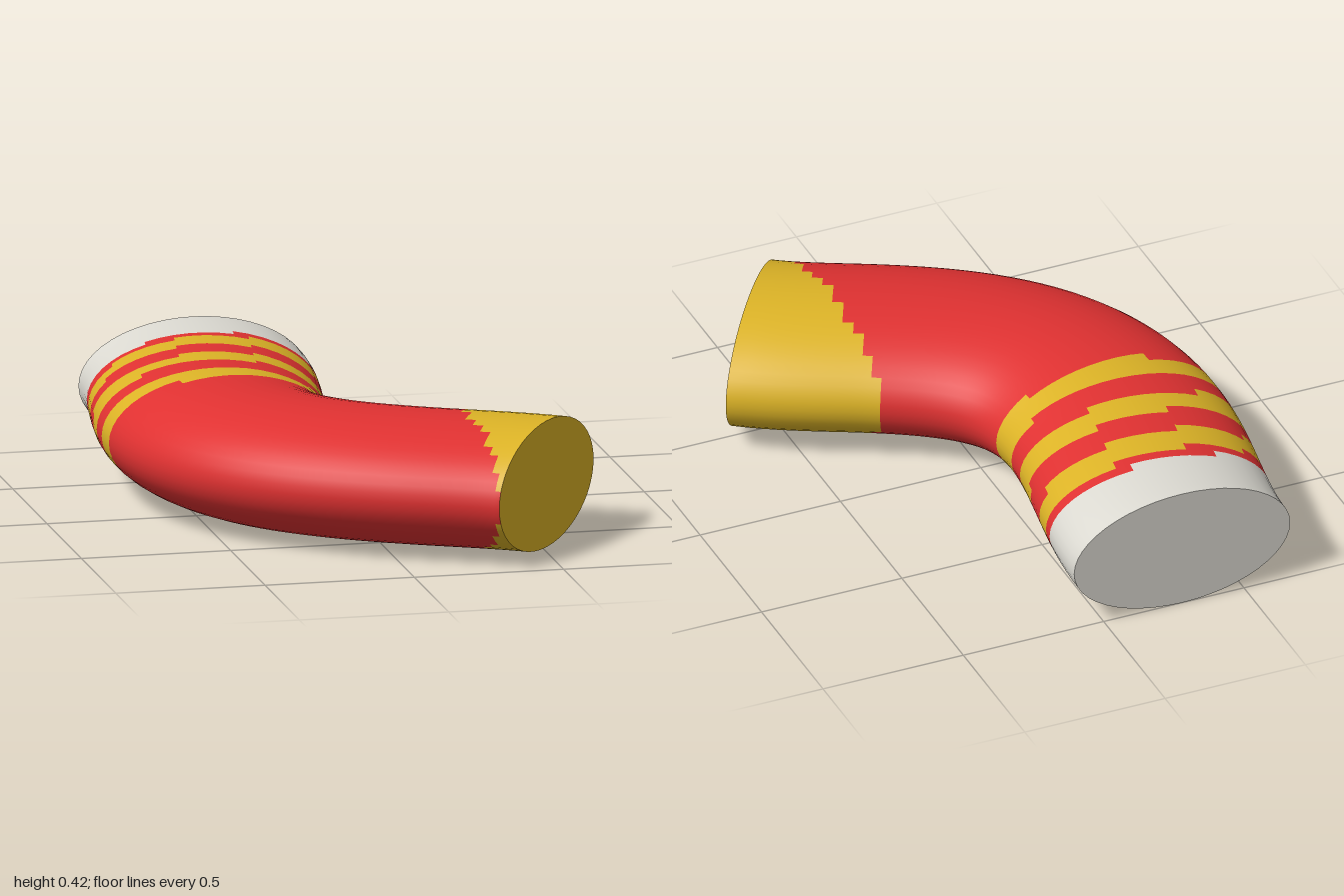
import * as THREE from 'three';

const RINGS = 56, SIDES = 48;
const HALF_WIDTH = 0.385, HALF_HEIGHT = 0.212;

const material = (name, color) => {
  const m = new THREE.MeshStandardMaterial({ color });
  m.name = name;
  return m;
};

// Centre line seen from above: (x, z) pairs, three joined curves
function centreLine() {
  const v = (x, z) => new THREE.Vector3(x, HALF_HEIGHT, z);
  const path = new THREE.CurvePath();
  path.add(new THREE.CubicBezierCurve3(v(-0.28, -1), v(-0.28, -0.75), v(-0.365, -0.5), v(-0.365, -0.25)));
  path.add(new THREE.CubicBezierCurve3(v(-0.365, -0.25), v(-0.365, 0.15), v(-0.14, 0.33), v(0.15, 0.485)));
  path.add(new THREE.CubicBezierCurve3(v(0.15, 0.485), v(0.264, 0.546), v(0.411, 0.608), v(0.515, 0.685)));
  return path;
}

// Colour zone of a point on the skin
function zoneAt(x, z) {
  if (z < -0.78) return 'white';
  if (x > 0.29 && z > 0) return 'yellow';
  const stripes = [[-0.73, -0.62], [-0.505, -0.4], [-0.29, -0.18]];
  return stripes.some(([a, b]) => z > a && z < b) ? 'yellow' : 'red';
}

export function createModel() {
  const group = new THREE.Group();
  group.name = 'bentTube';
  const materials = {
    red: material('red', 0xdf3131),
    yellow: material('yellow', 0xdcb326),
    white: material('white', 0xdbd9d1),
  };

  // Elliptical rings set square to the centre line
  const path = centreLine();
  const positions = [];
  for (let i = 0; i <= RINGS; i++) {
    const c = path.getPoint(i / RINGS);
    const t = path.getTangent(i / RINGS);
    for (let j = 0; j < SIDES; j++) {
      const a = (j / SIDES) * Math.PI * 2;
      const w = HALF_WIDTH * Math.cos(a);
      positions.push(c.x + t.z * w, c.y + HALF_HEIGHT * Math.sin(a), c.z - t.x * w);
    }
  }

  // Skin cells, sorted by colour
  const all = [], byZone = { red: [], yellow: [], white: [] };
  for (let i = 0; i < RINGS; i++) {
    for (let j = 0; j < SIDES; j++) {
      const k = (j + 1) % SIDES;
      const a = i * SIDES + j, b = i * SIDES + k;
      const c = a + SIDES, d = b + SIDES;
      const mid = (axis) => [a, b, c, d].reduce((s, n) => s + positions[n * 3 + axis], 0) / 4;
      const cell = [a, b, c, b, d, c];
      all.push(...cell);
      byZone[zoneAt(mid(0), mid(2))].push(...cell);
    }
  }

  // Smooth normals are taken from the whole skin and shared by its coloured parts
  const skin = new THREE.BufferGeometry();
  skin.setAttribute('position', new THREE.Float32BufferAttribute(positions, 3));
  skin.setIndex(all);
  skin.computeVertexNormals();
  const names = { red: 'tubeBody', yellow: 'stripesAndFrontBand', white: 'backBand' };
  for (const zone of Object.keys(byZone)) {
    const part = skin.clone();
    part.setIndex(byZone[zone]);
    const mesh = new THREE.Mesh(part, materials[zone]);
    mesh.name = names[zone];
    group.add(mesh);
  }

  // Flat elliptical end caps
  const addCap = (name, t, sign, mat) => {
    const cap = new THREE.Mesh(new THREE.CircleGeometry(1, SIDES), mat);
    const dir = path.getTangent(t).multiplyScalar(sign);
    cap.name = name;
    cap.scale.set(HALF_WIDTH, HALF_HEIGHT, 1);
    cap.position.copy(path.getPoint(t));
    cap.rotation.y = Math.atan2(dir.x, dir.z);
    group.add(cap);
  };
  addCap('backCap', 0, -1, materials.white);
  addCap('frontCap', 1, 1, materials.yellow);

  return group;
}
